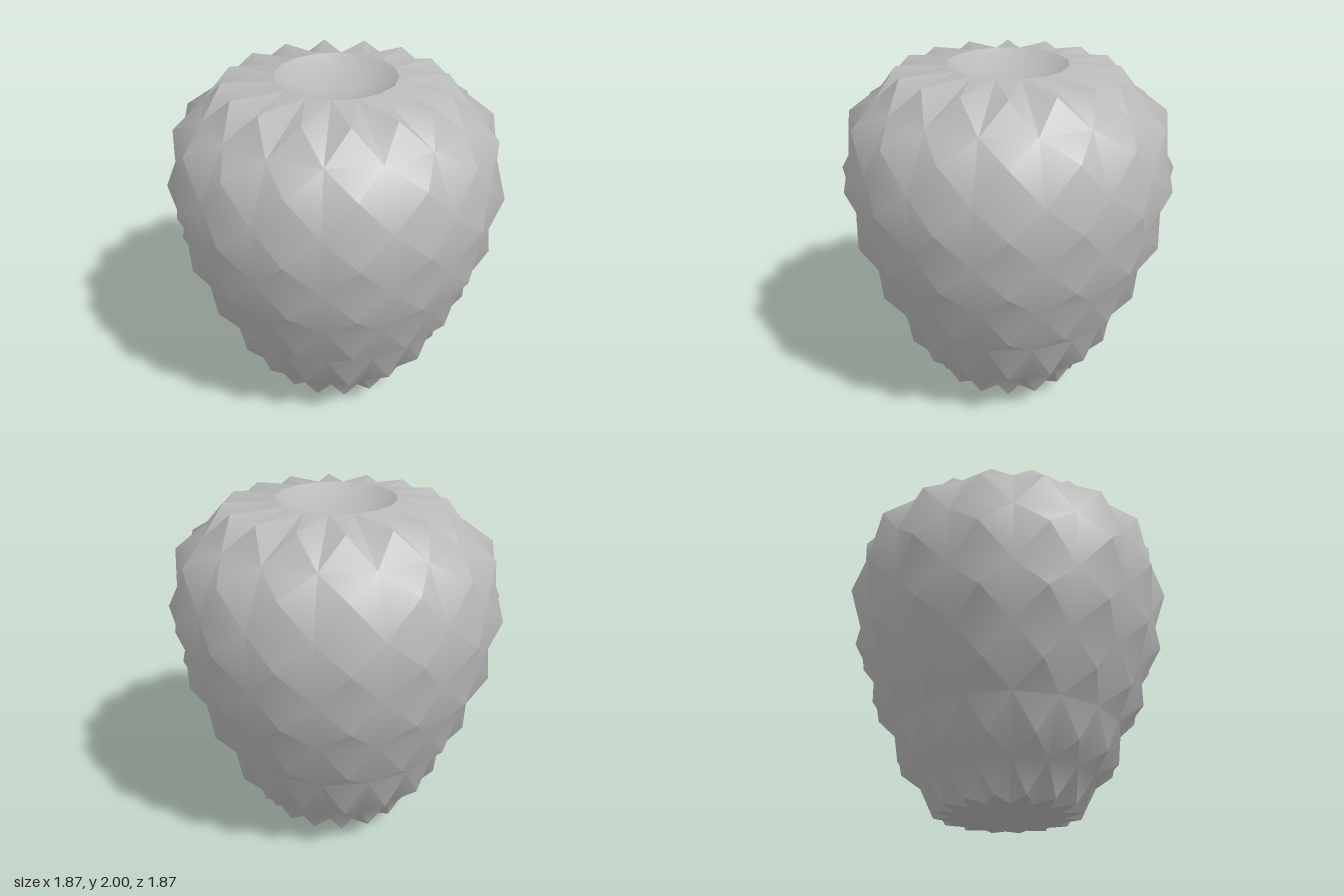
import * as THREE from 'three';
import { toCreasedNormals } from 'three/addons/utils/BufferGeometryUtils.js';

const SIDES = 16;
const STEP = (Math.PI * 2) / SIDES;

// Point on a ring: k counts sides, starting at the front
const ringPoint = ([r, y], k) => [r * Math.sin(k * STEP), y, r * Math.cos(k * STEP)];

// Lattice rings [radius, height], bottom to top
const rings = [[0.31, 0.075], [0.5, 0.26], [0.65, 0.56], [0.79, 0.88], [0.88, 1.19], [0.893, 1.53], [0.735, 1.83], [0.335, 2.0]];
// Raised stud point in the middle of each row of cells
const tips = [[0.423, 0.09], [0.622, 0.35], [0.78, 0.69], [0.902, 1.04], [0.953, 1.39], [0.887, 1.73], [0.612, 1.98]];

function studdedShell() {
  const pos = [];
  tips.forEach((tip, row) => {
    for (let k = 0; k < SIDES; k++) {
      const apex = ringPoint(tip, k + 0.5);
      const next = (k + 1) % SIDES;
      const corners = [
        ringPoint(rings[row], k), ringPoint(rings[row], next),
        ringPoint(rings[row + 1], next), ringPoint(rings[row + 1], k),
      ];
      // Four-sided pyramid over the cell
      corners.forEach((c, i) => pos.push(...c, ...corners[(i + 1) % 4], ...apex));
    }
  });
  const geo = new THREE.BufferGeometry();
  geo.setAttribute('position', new THREE.Float32BufferAttribute(pos, 3));
  return toCreasedNormals(geo, 0.8);
}

const lathe = (points) =>
  new THREE.LatheGeometry(points.map(([r, y]) => new THREE.Vector2(r, y)), SIDES);

export function createModel() {
  const group = new THREE.Group();
  group.name = 'studdedVase';
  const grey = new THREE.MeshStandardMaterial({ color: 0xb8b8b8 });
  grey.name = 'grey';

  const add = (name, geometry) => {
    const mesh = new THREE.Mesh(geometry, grey);
    mesh.name = name;
    group.add(mesh);
  };

  add('studdedBody', studdedShell());
  // Shallow cone closing the underside
  add('base', lathe([[0, 0], rings[0]]));
  // Smooth hollow in the top
  add('topHollow', lathe([rings[rings.length - 1], [0.27, 1.955], [0.18, 1.92], [0.09, 1.902], [0, 1.897]]));

  return group;
}
